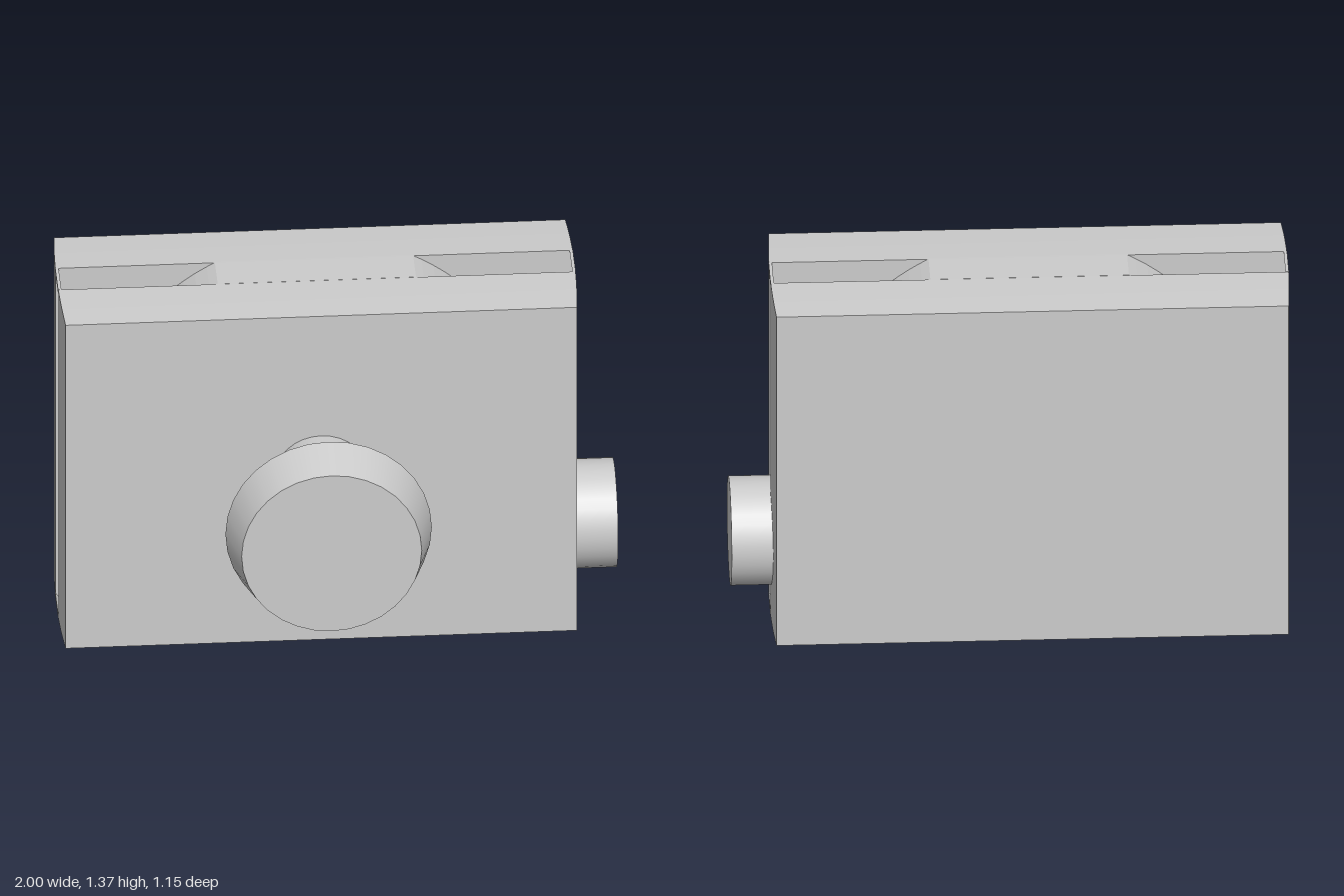
import * as THREE from 'three';

const CX = -0.072, CY = 0.683, CZ = -0.267; // centre of the body
const HX = 0.928, HY = 0.683, HZ = 0.308;   // half sizes of the body
const SLOT = 0.075;                         // half width of the groove

const material = new THREE.MeshStandardMaterial({ color: 0xcccccc });

function add(parent, name, geometry, x = 0, y = 0, z = 0) {
  const mesh = new THREE.Mesh(geometry, material);
  mesh.name = name;
  mesh.position.set(x, y, z);
  parent.add(mesh);
  return mesh;
}

// Plate whose rim is slightly crowned across the thickness of the body
function crownedPlate(z0, z1) {
  const geometry = new THREE.BoxGeometry(2, 2, z1 - z0, 1, 1, 5);
  geometry.translate(0, 0, (z0 + z1) / 2);
  const p = geometry.attributes.position;
  for (let i = 0; i < p.count; i++) {
    const inset = 0.011 * (p.getZ(i) / HZ) ** 2;
    p.setX(i, p.getX(i) * (HX - inset));
    p.setY(i, p.getY(i) * (HY - inset));
  }
  geometry.computeVertexNormals();
  return geometry;
}

function slab(points) {
  const geometry = new THREE.ExtrudeGeometry(new THREE.Shape(points),
    { depth: 2 * SLOT, bevelEnabled: false });
  return geometry.translate(0, 0, -SLOT);
}

export function createModel() {
  const model = new THREE.Group();
  model.name = 'grooved block with knob';

  // Two plates with an open groove between them
  const body = new THREE.Group();
  body.name = 'body';
  body.position.set(CX, CY, CZ);
  model.add(body);
  add(body, 'frontPlate', crownedPlate(SLOT, HZ));
  add(body, 'backPlate', crownedPlate(-HZ, -SLOT));

  // Round core inside the groove, cut flat at top and bottom
  const core = [];
  for (let i = 0; i < 96; i++) {
    const a = (i / 96) * Math.PI * 2;
    const y = 0.77 * Math.sin(a);
    if (Math.abs(y) < HY) core.push(new THREE.Vector2(0.77 * Math.cos(a), y));
    else {
      // keep only the ends of each flat
      const x = Math.sqrt(0.77 ** 2 - HY ** 2) * (Math.cos(a) >= 0 ? 1 : -1);
      const last = core[core.length - 1];
      if (!last || last.x !== x || last.y !== Math.sign(y) * HY)
        core.push(new THREE.Vector2(x, Math.sign(y) * HY));
    }
  }
  add(body, 'grooveCore', slab(core));

  // Thin slivers bridging the groove at the four corners
  for (const sx of [-1, 1]) for (const sy of [-1, 1]) {
    add(body, 'cornerBridge', slab([
      new THREE.Vector2(sx * HX, sy * HY),
      new THREE.Vector2(sx * (HX - 0.012), sy * HY),
      new THREE.Vector2(sx * HX, sy * (HY - 0.017)),
    ]));
  }

  // Front knob: shaft and tapered head
  const knob = new THREE.Group();
  knob.name = 'knob';
  knob.position.set(CX, CY + 0.003, 0);
  model.add(knob);
  add(knob, 'knobShaft', new THREE.CylinderGeometry(0.172, 0.172, 0.4, 32), 0, 0, 0.225)
    .rotation.x = Math.PI / 2;
  add(knob, 'knobHead', new THREE.CylinderGeometry(0.323, 0.37, 0.16, 32), 0, 0, 0.497)
    .rotation.x = Math.PI / 2;

  // Side peg running through the groove into the core
  add(model, 'sidePeg', new THREE.CylinderGeometry(0.197, 0.197, 0.4, 32), 0.8, 0.315, CZ)
    .rotation.z = -Math.PI / 2;

  return model;
}
